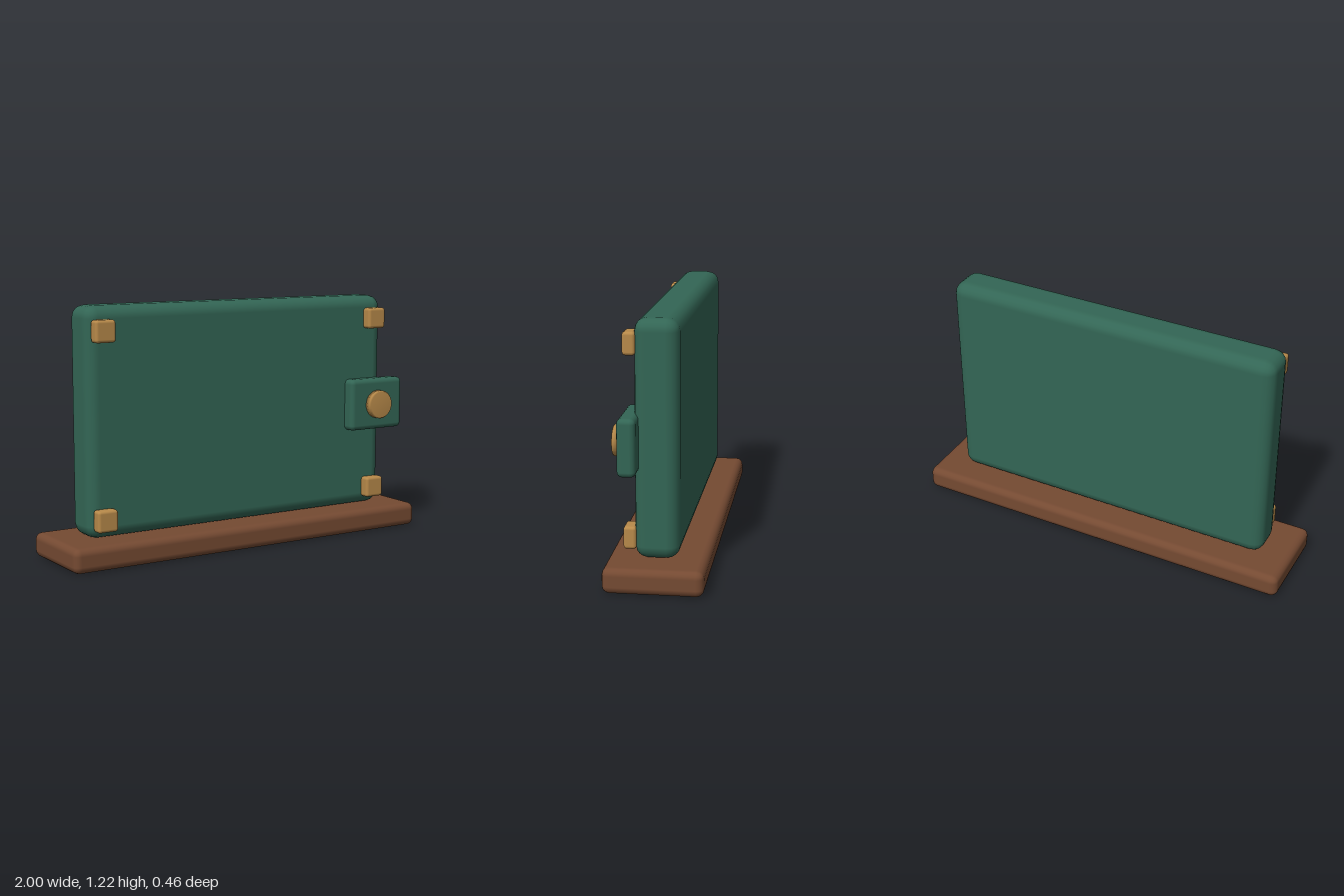
import * as THREE from 'three';
import { RoundedBoxGeometry } from 'three/addons/geometries/RoundedBoxGeometry.js';

export function createModel() {
  const model = new THREE.Group();
  const green = new THREE.MeshStandardMaterial({ color: 0x336655 });
  const brown = new THREE.MeshStandardMaterial({ color: 0x754a32 });
  const brass = new THREE.MeshStandardMaterial({ color: 0xb88a4a });

  // Rounded block given by its size, centre and edge radius
  const block = (name, size, centre, radius, material) => {
    const mesh = new THREE.Mesh(new RoundedBoxGeometry(...size, 2, radius), material);
    mesh.name = name;
    mesh.position.set(...centre);
    model.add(mesh);
  };

  // Stand and upright case
  block('base', [2, 0.12, 0.46], [0, 0.06, 0], 0.035, brown);
  block('body', [1.72, 1.1, 0.205], [0, 0.67, 0], 0.06, green);

  // Brass corner pieces on the front
  for (const x of [-0.787, 0.787]) {
    for (const y of [0.215, 1.105]) {
      block('cornerStud', [0.106, 0.106, 0.06], [x, y, 0.124], 0.015, brass);
    }
  }

  // Closing strap with its round button
  block('strap', [0.33, 0.266, 0.085], [0.785, 0.658, 0.122], 0.025, green);
  const profile = [[0, 0], [0.073, 0], [0.073, 0.035], [0.067, 0.042], [0, 0.042]];
  const button = new THREE.Mesh(
    new THREE.LatheGeometry(profile.map(([r, h]) => new THREE.Vector2(r, h)), 28),
    brass
  );
  button.name = 'button';
  button.rotation.x = Math.PI / 2;
  button.position.set(0.785, 0.658, 0.159);
  model.add(button);

  return model;
}
